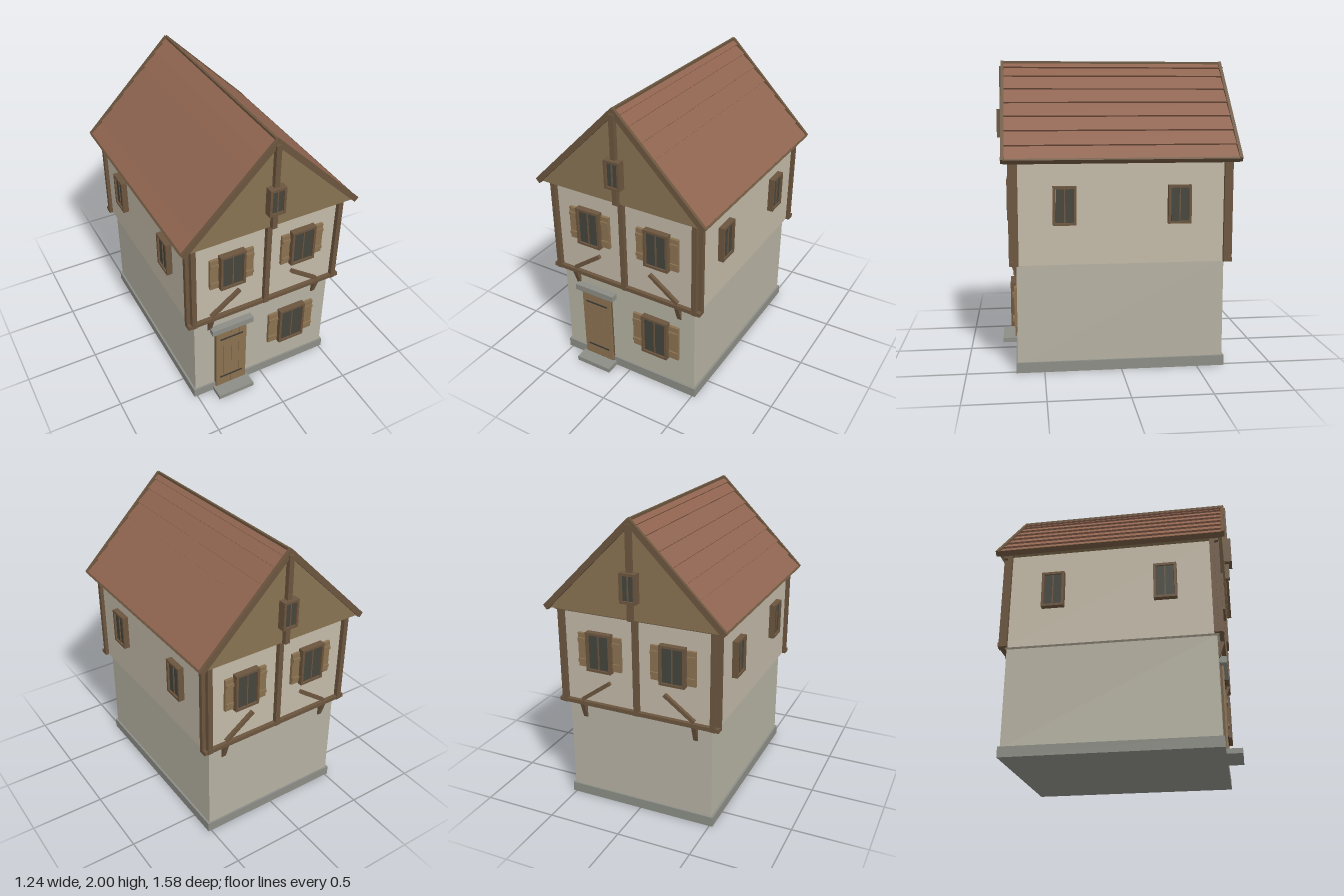
import * as THREE from 'three';

const mat = (color) => new THREE.MeshStandardMaterial({ color, flatShading: true });
const M = {
  lower: mat(0xb5b1a2), upper: mat(0xc2b9a7), stone: mat(0x8b8d85), timber: mat(0x6b553e),
  gable: mat(0x887352), wood: mat(0x8a7150), glass: mat(0x45453d), roof: mat(0x8f6450), iron: mat(0x3c3a36),
};

function add(parent, name, geometry, material) {
  const mesh = new THREE.Mesh(geometry, material);
  mesh.name = name;
  parent.add(mesh);
  return mesh;
}

// Box given by its min and max on each axis
function box(parent, name, material, x0, x1, y0, y1, z0, z1) {
  const mesh = add(parent, name, new THREE.BoxGeometry(x1 - x0, y1 - y0, z1 - z0), material);
  mesh.position.set((x0 + x1) / 2, (y0 + y1) / 2, (z0 + z1) / 2);
  return mesh;
}

// Polygon in x,y extruded between two z values
function prism(parent, name, material, points, z0, z1) {
  const shape = new THREE.Shape(points.map(([x, y]) => new THREE.Vector2(x, y)));
  const geometry = new THREE.ExtrudeGeometry(shape, { depth: z1 - z0, bevelEnabled: false });
  return add(parent, name, geometry.translate(0, 0, z0), material);
}

function group(parent, name) {
  const g = new THREE.Group();
  g.name = name;
  parent.add(g);
  return g;
}

// Two-pane window facing +z with its back on z = 0, optionally with shutters
function makeWindow(parent, name, w, h, depth, shutter) {
  const g = group(parent, name);
  const t = 0.016, a = w / 2, b = h / 2;
  for (const s of [-1, 1]) {
    box(g, 'frameSide', M.timber, s > 0 ? a - t : -a, s > 0 ? a : t - a, -b, b, 0, depth);
    box(g, 'frameRail', M.timber, t - a, a - t, s > 0 ? b - t : -b, s > 0 ? b : t - b, 0, depth);
    const c = s * (a - t) / 2, half = (a - t) / 2 - 0.003;
    box(g, 'pane', M.glass, c - half, c + half, t - b, b - t, 0, depth - 0.012);
    if (shutter) {
      const x0 = s > 0 ? a + 0.007 : -a - 0.007 - shutter;
      const y = b - 0.018;
      box(g, 'shutter', M.wood, x0, x0 + shutter, -y, y, 0, 0.02);
      for (const v of [-1, 1]) {
        box(g, 'shutterBatten', M.wood, x0 + 0.002, x0 + shutter - 0.002, v * y * 0.62 - 0.012, v * y * 0.62 + 0.012, 0.02, 0.03);
      }
    }
  }
  box(g, 'mullion', M.timber, -0.004, 0.004, t - b, b - t, 0, depth - 0.006);
  return g;
}

// Timbered upper facade, used on both ends of the house
function makeFacade(parent, name) {
  const g = group(parent, name);
  const wall = 0.685;
  box(g, 'sillBeam', M.timber, -0.565, 0.565, 0.71, 0.737, wall - 0.01, 0.712);
  box(g, 'topBeam', M.timber, -0.565, 0.565, 1.355, 1.38, wall - 0.01, 0.712);
  box(g, 'middlePost', M.timber, -0.017, 0.017, 0.71, 1.372, wall, 0.716);
  box(g, 'gablePost', M.timber, -0.017, 0.017, 1.372, 1.965, 0.73, 0.768);
  makeWindow(g, 'gableWindow', 0.11, 0.19, 0.055).position.set(0, 1.583, 0.735);

  for (const s of [-1, 1]) {
    // Corner posts lie on both faces of the corner
    const post = (n, x0, x1, z0, z1) =>
      box(g, n, M.timber, s > 0 ? x0 : -x1, s > 0 ? x1 : -x0, 0.71, 1.372, z0, z1);
    post('cornerPostFront', 0.507, 0.54, wall, 0.716);
    post('cornerPostSide', 0.54, 0.565, 0.655, wall);

    makeWindow(g, 'upperWindow', 0.175, 0.265, 0.042, 0.058).position.set(s * 0.255, 1.102, wall);

    const dx = 0.205, dy = 0.15;
    const brace = add(g, 'brace', new THREE.BoxGeometry(Math.hypot(dx, dy), 0.024, 0.024), M.timber);
    brace.position.set(s * 0.295, 0.82, wall + 0.012);
    brace.rotation.z = -s * Math.atan2(dy, dx);

    // Wedge bracket below the overhang
    const bracket = prism(g, 'bracket', M.timber,
      [[-0.66, 0.605], [-0.676, 0.605], [-0.712, 0.71], [-0.66, 0.71]], -0.015, 0.015);
    bracket.rotation.y = Math.PI / 2;
    bracket.position.x = s * 0.397;
  }
  return g;
}

export function createModel() {
  const house = new THREE.Group();
  house.name = 'house';

  // Walls
  box(house, 'plinth', M.stone, -0.522, 0.522, 0, 0.067, -0.682, 0.682);
  box(house, 'groundFloor', M.lower, -0.508, 0.508, 0.06, 0.715, -0.67, 0.67);
  box(house, 'upperFloor', M.upper, -0.54, 0.54, 0.71, 1.375, -0.685, 0.685);

  makeFacade(house, 'frontFacade');
  makeFacade(house, 'backFacade').rotation.y = Math.PI;

  // Side windows
  for (const s of [-1, 1]) {
    for (const z of [-0.365, 0.365]) {
      const w = makeWindow(house, 'sideWindow', 0.148, 0.245, 0.04);
      w.position.set(s * 0.54, 1.09, z);
      w.rotation.y = s * Math.PI / 2;
    }
  }

  // Attic body, its ends forming the gables
  prism(house, 'gable', M.gable, [[-0.582, 1.37], [0.582, 1.37], [0, 1.952]], -0.737, 0.737);

  // Roof slopes with overlapping courses, verge boards and eaves
  const courses = [1.385, 1.47, 1.557, 1.644, 1.73, 1.817, 1.902, 1.96, 1.998];
  const k = Math.SQRT1_2;
  for (const s of [-1, 1]) {
    const at = (y, off) => [s * Math.max(0, 2 - y + off * k), y + off * k];
    const profile = [];
    for (let i = 0; i < courses.length - 1; i++) {
      profile.push(at(courses[i], -0.001), at(courses[i + 1], -0.014));
    }
    profile.push([0, 1.95], at(courses[0], -0.034));
    prism(house, 'roofSlope', M.roof, profile, -0.735, 0.735);

    for (const e of [-1, 1]) {
      prism(house, 'vergeBoard', M.timber,
        [[0, 1.988], [s * 0.006, 2], [s * 0.62, 1.386], [s * 0.595, 1.358], [0, 1.95]],
        e > 0 ? 0.735 : -0.756, e > 0 ? 0.756 : -0.735);
    }
    const eave = add(house, 'eaveBoard', new THREE.BoxGeometry(0.014, 0.036, 1.48), M.timber);
    eave.position.set(s * 0.603, 1.373, 0);
    eave.rotation.z = -s * Math.PI / 4;
  }
  box(house, 'ridgeBeam', M.timber, -0.008, 0.008, 1.95, 1.998, -0.745, 0.745);

  // Door with planks, hinges, lintel and step
  const door = group(house, 'door');
  const left = -0.36, plank = 0.23 / 4;
  box(door, 'doorBacking', M.timber, left, -0.13, 0.035, 0.57, 0.665, 0.685);
  for (let i = 0; i < 4; i++) {
    box(door, 'doorPlank', M.wood, left + i * plank + 0.001, left + (i + 1) * plank - 0.001, 0.037, 0.57, 0.67, 0.695);
  }
  for (const y of [0.12, 0.49]) box(door, 'hinge', M.iron, -0.33, -0.16, y - 0.005, y + 0.005, 0.69, 0.7);
  box(house, 'lintel', M.stone, -0.395, -0.093, 0.575, 0.617, 0.66, 0.718);
  box(house, 'doorStep', M.stone, -0.377, -0.11, 0, 0.032, 0.66, 0.78);

  makeWindow(house, 'groundWindow', 0.195, 0.295, 0.042, 0.07).position.set(0.223, 0.4, 0.67);
  return house;
}
